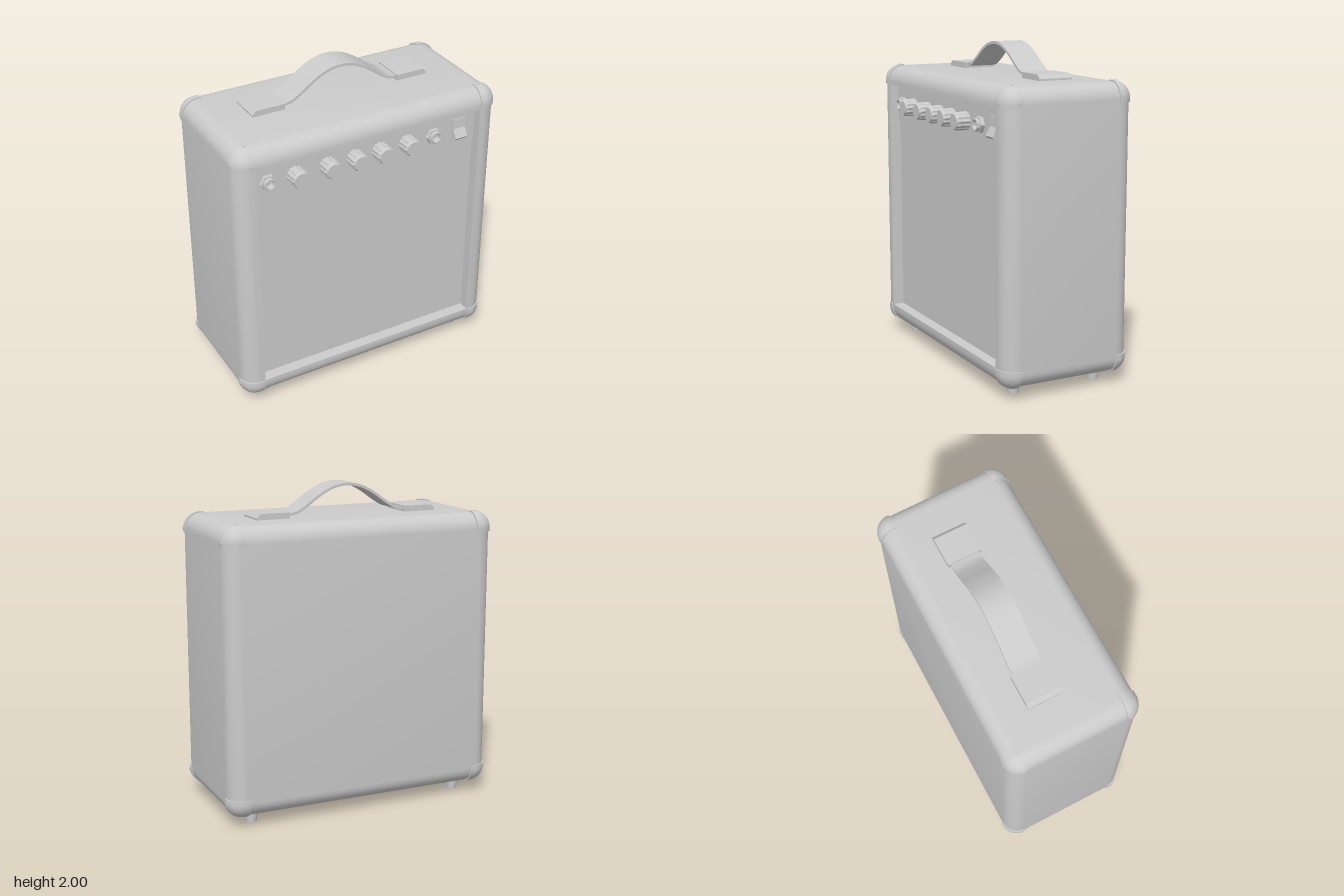
import * as THREE from 'three';
import { toCreasedNormals } from 'three/addons/utils/BufferGeometryUtils.js';

const mat = new THREE.MeshStandardMaterial({ color: 0xcccccc });
const flat = new THREE.MeshStandardMaterial({ color: 0xcccccc, flatShading: true });

// Cabinet extents
const W = 0.873, H = 0.87, R = 0.1, CY = 0.937, ZF = 0.412, ZB = -0.428;
const PANEL_Z = 0.352, BAFFLE_Z = 0.342, ROW_Y = 1.56;

function add(parent, name, geometry, x = 0, y = 0, z = 0, material = mat) {
  const mesh = new THREE.Mesh(geometry, material);
  mesh.name = name;
  mesh.position.set(x, y, z);
  parent.add(mesh);
  return mesh;
}

// Rounded rectangle ring, counter-clockwise seen from +z
function ring(hw, hh, r, z, n = 8) {
  const pts = [];
  [[1, 1], [-1, 1], [-1, -1], [1, -1]].forEach(([sx, sy], q) => {
    for (let i = 0; i <= n; i++) {
      const a = (q + i / n) * Math.PI / 2;
      pts.push(new THREE.Vector3(sx * (hw - r) + r * Math.cos(a), sy * (hh - r) + r * Math.sin(a), z));
    }
  });
  return pts;
}

// Skin a list of equal rings, leaving out collapsed triangles
function loft(rings) {
  const pos = [], tri = new THREE.Triangle();
  const face = (a, b, c) => {
    if (tri.set(a, b, c).getArea() > 1e-9) pos.push(...a.toArray(), ...b.toArray(), ...c.toArray());
  };
  for (let k = 0; k < rings.length - 1; k++) {
    const A = rings[k], B = rings[k + 1];
    A.forEach((p, i) => {
      const j = (i + 1) % A.length;
      face(p, A[j], B[j]);
      face(p, B[j], B[i]);
    });
  }
  const g = new THREE.BufferGeometry();
  g.setAttribute('position', new THREE.Float32BufferAttribute(pos, 3));
  return toCreasedNormals(g, 0.6);
}

// Rounded shell with a recessed front opening
function cabinetGeometry() {
  const rings = [ring(0, 0, 0, ZB)], n = 8;
  const edge = (a, z) => ring(W - R + R * Math.cos(a), H - R + R * Math.cos(a), R * Math.cos(a), z);
  for (let i = n; i >= 0; i--) {
    const a = i / n * Math.PI / 2;
    rings.push(edge(a, ZB + R - R * Math.sin(a)));
  }
  for (let i = 0; i <= n; i++) {
    const a = i / n * Math.PI / 2;
    rings.push(edge(a, ZF - R + R * Math.sin(a)));
  }
  rings.push(ring(0.745, 0.75, 0, ZF), ring(0.745, 0.75, 0, BAFFLE_Z), ring(0, 0, 0, BAFFLE_Z));
  return loft(rings);
}

// Block whose outer corner (given by signs) is rounded to a sphere
function cornerGeometry(signs, size, r) {
  const g = new THREE.BoxGeometry(...size, 12, 12, 12), p = g.attributes.position;
  for (let i = 0; i < p.count; i++) {
    const v = [p.getX(i), p.getY(i), p.getZ(i)];
    const core = size.map(s => s / 2 - r);
    const d = v.map((c, k) => Math.max(signs[k] * c - core[k], 0));
    const len = Math.hypot(...d), f = len ? Math.max(...d) / len : 0;
    p.setXYZ(i, ...v.map((c, k) => signs[k] * (Math.min(signs[k] * c, core[k]) + d[k] * f)));
  }
  return toCreasedNormals(g, 0.6);
}

function addCorner(parent, sx, sy, sz) {
  const g = new THREE.Group();
  g.name = 'cornerProtector';
  const size = [0.13, 0.125, 0.11], off = 0.007;
  const ox = sx * (W + off), oy = CY + sy * (H + off), oz = sz > 0 ? ZF + off : ZB - off;
  add(g, 'cornerCap', cornerGeometry([sx, sy, sz], size, 0.103),
    ox - sx * size[0] / 2, oy - sy * size[1] / 2, oz - sz * size[2] / 2);
  // One screw on each flange
  const screw = new THREE.CylinderGeometry(0.01, 0.01, 0.008, 12);
  add(g, 'screw', screw, ox - sx * 0.095, oy - sy * 0.1, oz - sz * 0.003).rotation.x = Math.PI / 2;
  add(g, 'screw', screw, ox - sx * 0.1, oy - sy * 0.003, oz - sz * 0.09);
  add(g, 'screw', screw, ox - sx * 0.003, oy - sy * 0.1, oz - sz * 0.085).rotation.z = Math.PI / 2;
  parent.add(g);
}

// Ribbed knob with a bevelled, smooth front
function knobGeometry() {
  const pts = [[0.056, 0], [0.054, 0.07], [0.045, 0.088], [0, 0.088]].map(p => new THREE.Vector2(...p));
  const g = new THREE.LatheGeometry(pts, 48), p = g.attributes.position;
  for (let i = 0; i < p.count; i++) {
    const seg = Math.floor(i / pts.length);
    if (p.getY(i) < 0.08 && seg % 4 >= 2) {
      p.setX(i, p.getX(i) * 0.93);
      p.setZ(i, p.getZ(i) * 0.93);
    }
  }
  return g.rotateX(Math.PI / 2);
}

function addJack(parent, x) {
  const g = new THREE.Group();
  g.name = 'inputJack';
  g.position.set(x, ROW_Y, PANEL_Z);
  const hex = new THREE.Shape();
  for (let i = 0; i < 6; i++) {
    const a = i * Math.PI / 3;
    hex[i ? 'lineTo' : 'moveTo'](0.052 * Math.cos(a), 0.052 * Math.sin(a));
  }
  hex.closePath();
  hex.holes.push(new THREE.Path().absarc(0, 0, 0.03, 0, Math.PI * 2, true));
  add(g, 'jackNut', new THREE.ExtrudeGeometry(hex, { depth: 0.025, bevelEnabled: false }));
  const profile = [[0.039, 0], [0.039, 0.038], [0.036, 0.042], [0.028, 0.042], [0.025, 0.038], [0.025, 0.004], [0, 0.004]];
  const bush = new THREE.LatheGeometry(profile.map(p => new THREE.Vector2(...p)), 32);
  add(g, 'jackBushing', toCreasedNormals(bush.rotateX(Math.PI / 2), 0.5));
  parent.add(g);
}

// Extrude an outline drawn in (z, y) along x, centred
function sideExtrude(points, width) {
  const s = new THREE.Shape(points.map(p => new THREE.Vector2(...p)));
  return new THREE.ExtrudeGeometry(s, { depth: width, bevelEnabled: false })
    .translate(0, 0, -width / 2).rotateY(-Math.PI / 2);
}

function addHandle(parent) {
  const g = new THREE.Group();
  g.name = 'handle';
  g.position.z = -0.065;
  // Strap: a thin band following a bell curve
  const half = [[0, 1.992], [0.09, 1.977], [0.18, 1.932], [0.26, 1.876], [0.33, 1.836], [0.4, 1.825]];
  const pts = [...half.slice(1).reverse().map(([x, y]) => [-x, y]), ...half];
  const curve = new THREE.CatmullRomCurve3(pts.map(([x, y]) => new THREE.Vector3(x, y, 0)));
  const top = [], bottom = [];
  for (let i = 0; i <= 48; i++) {
    const p = curve.getPointAt(i / 48), t = curve.getTangentAt(i / 48), h = 0.008;
    top.push(new THREE.Vector2(p.x - t.y * h, p.y + t.x * h));
    bottom.push(new THREE.Vector2(p.x + t.y * h, p.y - t.x * h));
  }
  const band = new THREE.ExtrudeGeometry(new THREE.Shape([...bottom, ...top.reverse()]), { depth: 0.184, bevelEnabled: false });
  add(g, 'handleStrap', toCreasedNormals(band, 0.5), 0, 0, -0.092);
  // End brackets with a sloping outer edge
  for (const s of [-1, 1]) {
    const b = new THREE.Shape([[0.38, 1.8], [0.59, 1.8], [0.59, 1.818], [0.565, 1.843], [0.38, 1.843]]
      .map(([x, y]) => new THREE.Vector2(s * x, y)));
    add(g, 'handleBracket', new THREE.ExtrudeGeometry(b, { depth: 0.216, bevelEnabled: false }), 0, 0, -0.108);
  }
  parent.add(g);
}

export function createModel() {
  const model = new THREE.Group();
  model.name = 'amplifier';

  add(model, 'cabinet', cabinetGeometry(), 0, CY, 0);
  add(model, 'controlPanel', new THREE.BoxGeometry(1.49, 0.257, 0.03), 0, 1.5585, PANEL_Z - 0.015);

  // Corner protectors
  for (const sx of [-1, 1]) for (const sy of [-1, 1]) for (const sz of [-1, 1]) addCorner(model, sx, sy, sz);

  // Control row
  const knob = knobGeometry();
  for (const x of [-0.48, -0.27, -0.09, 0.08, 0.265]) add(model, 'knob', knob, x, ROW_Y, PANEL_Z, flat);
  for (const x of [-0.655, 0.452]) addJack(model, x);

  // Power switch
  add(model, 'switchFrame', new THREE.BoxGeometry(0.096, 0.136, 0.012), 0.632, 1.563, PANEL_Z);
  const rocker = [[0, -0.062], [0.034, -0.06], [0.042, -0.048], [0.012, 0.005], [0.01, 0.062], [0, 0.062]];
  add(model, 'switchRocker', sideExtrude(rocker.map(([z, y]) => [z, y]), 0.082), 0.632, 1.563, PANEL_Z)
    .rotation.y = 0;

  addHandle(model);

  // Feet
  const foot = new THREE.CylinderGeometry(0.04, 0.032, 0.075, 24);
  for (const x of [-0.695, 0.695]) for (const z of [0.268, -0.28]) add(model, 'foot', foot, x, 0.0375, z);

  return model;
}
